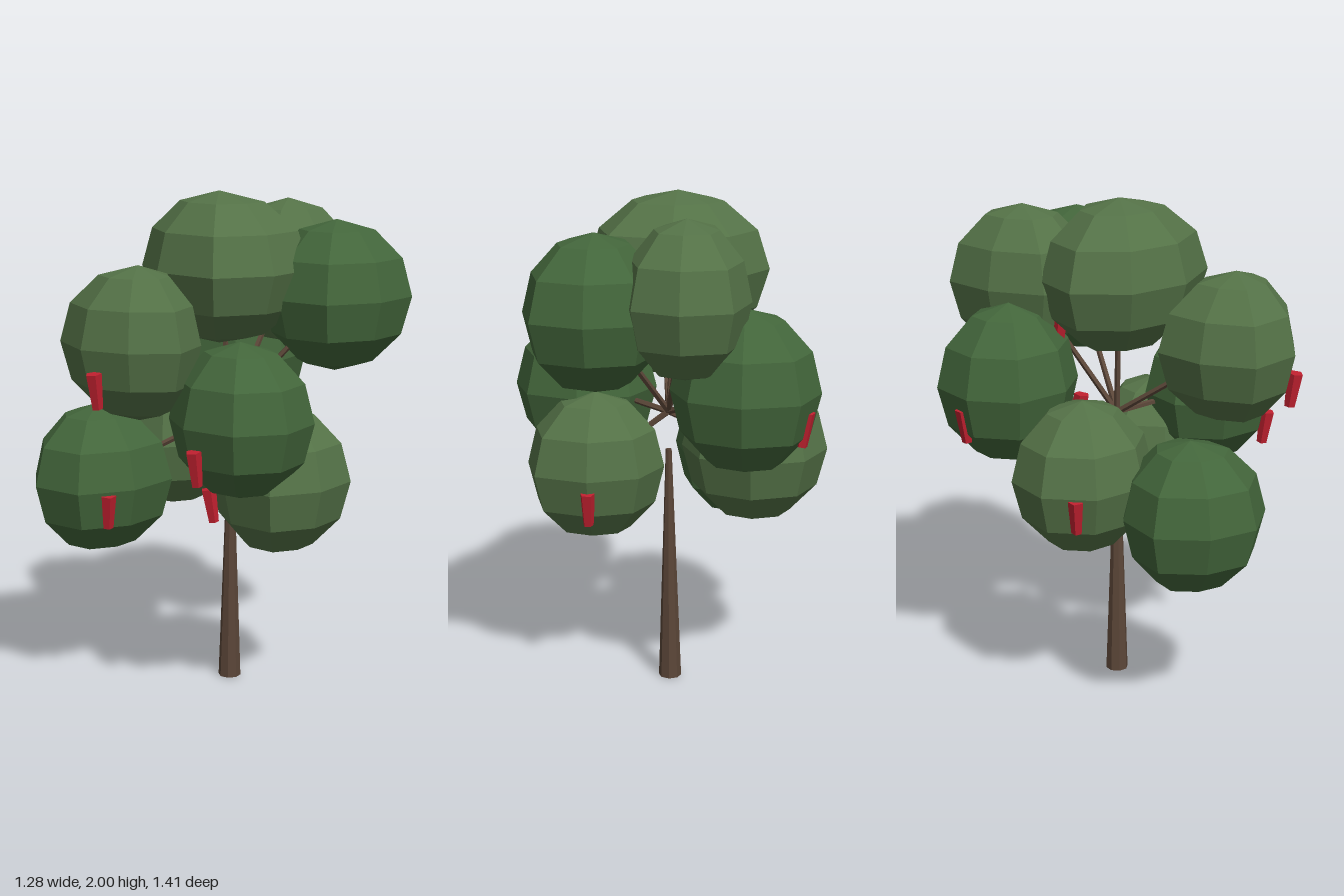
import * as THREE from 'three';

const material = (color) => new THREE.MeshStandardMaterial({ color, flatShading: true });
const lightLeaf = material(0x547247);
const darkLeaf = material(0x43663b);
const barkMaterial = material(0x5b4638);
const fruitMaterial = material(0xc0202f);
const UP = new THREE.Vector3(0, 1, 0);

// Leaf clumps: centre x, y, z; radii x, y, z; fullness of the -x and +x corners; material
const CLUMPS = [
  [-0.045, 1.70, -0.02, 0.355, 0.30, 0.295, 0.97, 1.12, lightLeaf],
  [0.06, 1.455, 0.43, 0.28, 0.295, 0.255, 1.15, 0.9, lightLeaf],
  [-0.265, 0.87, 0.42, 0.27, 0.30, 0.285, 0.92, 1.08, darkLeaf],
  [-0.35, 0.98, 0.00, 0.29, 0.30, 0.27, 1.0, 1.0, lightLeaf],
  [0.28, 0.905, -0.06, 0.275, 0.30, 0.255, 1.0, 1.1, lightLeaf],
  [0.35, 1.175, 0.17, 0.29, 0.30, 0.26, 1.0, 1.03, darkLeaf],
  [0.23, 1.59, -0.39, 0.27, 0.30, 0.285, 1.06, 1.08, darkLeaf],
  [-0.115, 1.65, -0.42, 0.24, 0.30, 0.285, 1.1, 1.06, lightLeaf],
  [-0.33, 1.295, -0.345, 0.285, 0.315, 0.26, 1.05, 1.0, darkLeaf],
];

// Hanging fruit: centre x, y, z and the index of its clump
const FRUITS = [
  [0.11, 1.305, 0.655, 1], [0.39, 1.03, 0.405, 5], [-0.04, 0.79, 0.515, 2],
  [0.12, 0.79, 0.14, 4], [0.28, 0.79, -0.29, 4], [-0.57, 0.905, 0.11, 3],
  [-0.555, 1.17, -0.40, 8], [-0.20, 1.18, -0.11, 8], [-0.20, 1.47, -0.20, 7],
];

// Low-poly ball whose diagonal corners swell or shrink on each side
function clumpGeometry(rx, ry, rz, fullLeft, fullRight) {
  const geometry = new THREE.SphereGeometry(1, 8, 6);
  const p = geometry.attributes.position;
  for (let i = 0; i < p.count; i++) {
    const x = p.getX(i), y = p.getY(i), z = p.getZ(i);
    const corner = Math.abs(2 * x * z) / (x * x + z * z + 1e-6);
    const k = 1 + corner * ((x < 0 ? fullLeft : fullRight) - 1);
    p.setXYZ(i, x * k * rx, y * ry, z * k * rz);
  }
  geometry.computeVertexNormals();
  return geometry;
}

// Tapered limb between two points
function limb(name, from, to, r0, r1, sides) {
  const dir = to.clone().sub(from);
  const mesh = new THREE.Mesh(new THREE.CylinderGeometry(r1, r0, dir.length(), sides), barkMaterial);
  mesh.position.copy(from).addScaledVector(dir, 0.5);
  mesh.quaternion.setFromUnitVectors(UP, dir.normalize());
  mesh.name = name;
  return mesh;
}

export function createModel() {
  const tree = new THREE.Group();
  tree.name = 'fruitTree';

  const base = new THREE.Vector3(-0.018, 0, -0.053);
  const top = new THREE.Vector3(-0.012, 0.975, -0.053);
  const fork = new THREE.Vector3(-0.012, 1.13, -0.053);
  tree.add(limb('trunk', base, top, 0.046, 0.012, 8));

  // One branch and one leaf clump each
  for (const [x, y, z, rx, ry, rz, left, right, leaf] of CLUMPS) {
    const centre = new THREE.Vector3(x, y, z);
    tree.add(limb('branch', fork, centre, 0.013, 0.01, 5));
    const clump = new THREE.Mesh(clumpGeometry(rx, ry, rz, left, right), leaf);
    clump.position.copy(centre);
    clump.name = 'leafClump';
    tree.add(clump);
  }

  // Fruit pods, wider at the top and leaning away from their clump
  const podGeometry = new THREE.CylinderGeometry(0.031, 0.021, 0.135, 5);
  for (const [x, y, z, owner] of FRUITS) {
    const [cx, , cz] = CLUMPS[owner];
    const lean = new THREE.Vector3(0.6 * (x - cx), 1, 0.6 * (z - cz)).normalize();
    const pod = new THREE.Mesh(podGeometry, fruitMaterial);
    pod.position.set(x, y, z);
    pod.quaternion.setFromUnitVectors(UP, lean);
    pod.name = 'fruit';
    tree.add(pod);
  }

  return tree;
}
